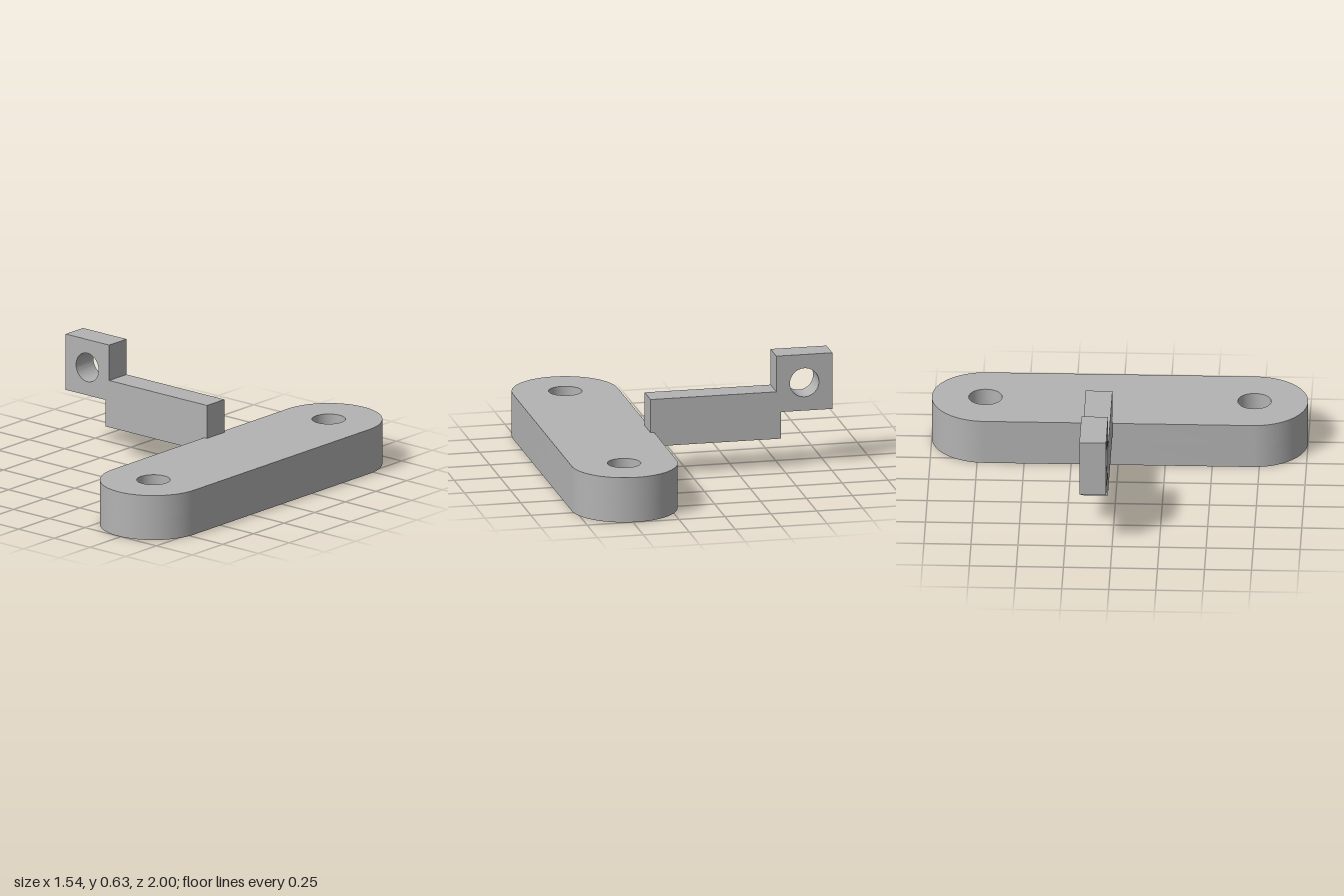
import * as THREE from 'three';
import { toCreasedNormals } from 'three/addons/utils/BufferGeometryUtils.js';

const PLATE_X = 0.485, RADIUS = 0.285, HOLE_Z = 0.715;

function extrude(shape, depth) {
  const geo = new THREE.ExtrudeGeometry(shape, { depth, bevelEnabled: false, curveSegments: 32 });
  return toCreasedNormals(geo, Math.PI / 6);
}

function roundHole(x, y, r) {
  const path = new THREE.Path();
  path.absarc(x, y, r, 0, Math.PI * 2, true);
  return path;
}

// Hexagon with two corners along x
function hexHole(x, y, r) {
  const points = [];
  for (let i = 0; i < 6; i++) {
    const a = -i * Math.PI / 3;
    points.push(new THREE.Vector2(x + r * Math.cos(a), y + r * Math.sin(a)));
  }
  return new THREE.Path(points);
}

// Round-ended plate outline; shape y becomes -z once laid flat
function plateLayer(holes, bottom, top) {
  const shape = new THREE.Shape();
  shape.absarc(PLATE_X, HOLE_Z, RADIUS, 0, Math.PI, false);
  shape.absarc(PLATE_X, -HOLE_Z, RADIUS, Math.PI, Math.PI * 2, false);
  shape.closePath();
  shape.holes.push(...holes);
  return extrude(shape, top - bottom).rotateX(-Math.PI / 2).translate(0, bottom, 0);
}

export function createModel() {
  const model = new THREE.Group();
  model.name = 'bracket';
  const grey = new THREE.MeshStandardMaterial({ color: 0xb3b3b3 });
  grey.name = 'grey';

  const add = (name, geo, parent) => {
    const mesh = new THREE.Mesh(geo, grey);
    mesh.name = name;
    parent.add(mesh);
  };

  // Mounting plate: two bolt holes, the front one with a nut pocket underneath
  const plate = new THREE.Group();
  plate.name = 'mountingPlate';
  model.add(plate);
  const split = 0.13;
  const backHole = roundHole(PLATE_X, HOLE_Z, 0.089);
  add('plateLower', plateLayer([backHole, hexHole(PLATE_X, -HOLE_Z, 0.175)], 0, split), plate);
  add('plateUpper', plateLayer([backHole, roundHole(PLATE_X, -HOLE_Z, 0.089)], split, 0.247), plate);

  // Stepped arm with a square eye at its end
  const arm = new THREE.Shape([
    [0.22, 0.17], [0.22, 0.43], [-0.465, 0.43], [-0.465, 0.627],
    [-0.77, 0.627], [-0.77, 0.317], [-0.49, 0.317], [-0.49, 0.17],
  ].map(([x, y]) => new THREE.Vector2(x, y)));
  arm.holes.push(roundHole(-0.618, 0.472, 0.079));
  add('arm', extrude(arm, 0.142).translate(0, 0, -0.173), model);

  return model;
}
